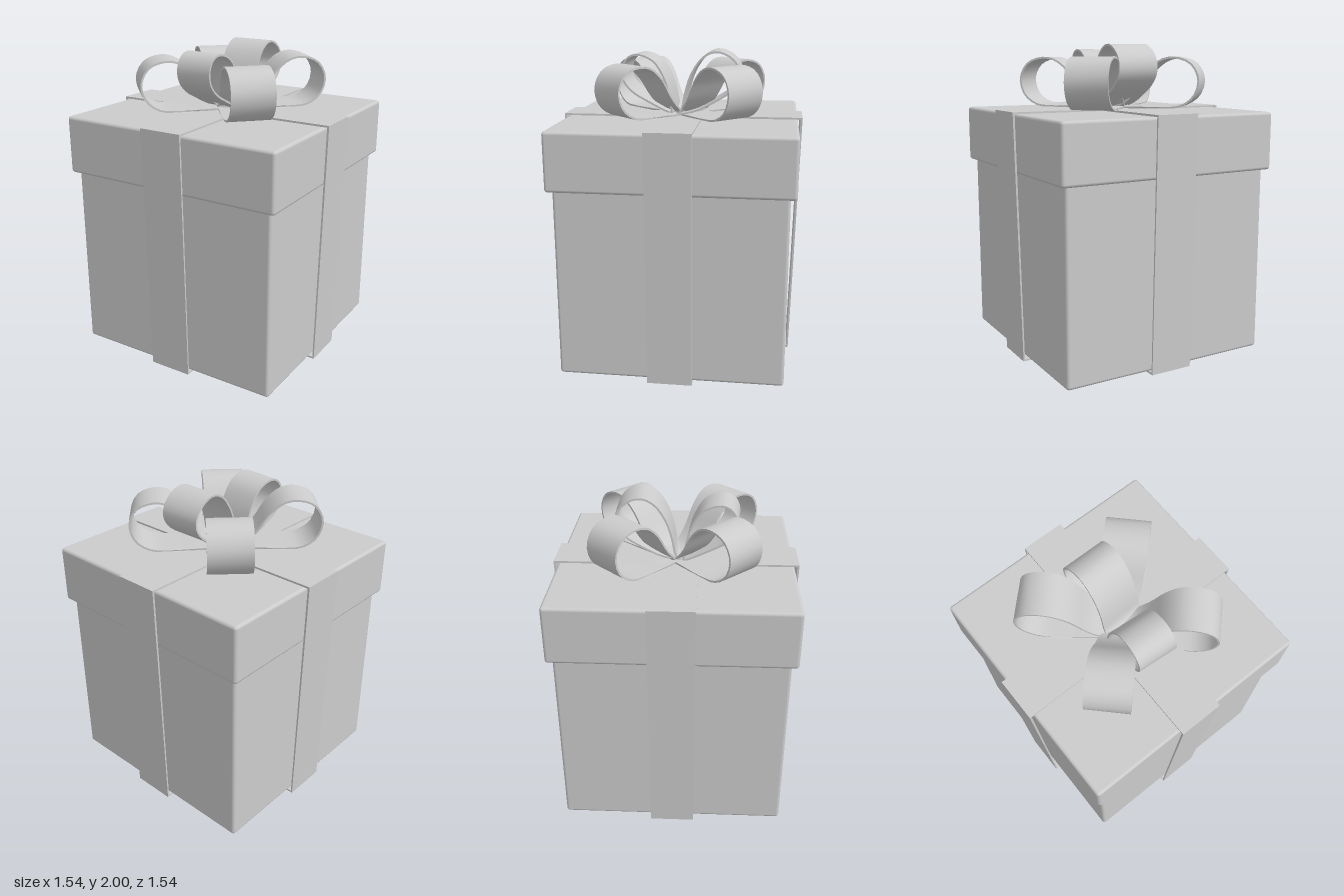
import * as THREE from 'three';
import { toCreasedNormals } from 'three/addons/utils/BufferGeometryUtils.js';
import { RoundedBoxGeometry } from 'three/addons/geometries/RoundedBoxGeometry.js';

const material = new THREE.MeshStandardMaterial({ color: 0xcccccc, side: THREE.DoubleSide });

function add(parent, name, geometry) {
  const mesh = new THREE.Mesh(geometry, material);
  mesh.name = name;
  parent.add(mesh);
  return mesh;
}

// Box with softened edges spanning y0 to y1
function softBox(parent, name, width, y0, y1) {
  const mesh = add(parent, name, new RoundedBoxGeometry(width, y1 - y0, width, 2, 0.02));
  mesh.position.y = (y0 + y1) / 2;
}

const toPoints = (list) => list.map(([x, y]) => new THREE.Vector2(x, y));

// Closed ribbon round the box, wider at the lid than at the base
function wrapRibbon(y) {
  const t = 0.006;
  const shape = new THREE.Shape(toPoints([[-0.735, y], [0.735, y], [0.77, 1.59], [-0.77, 1.59]]));
  shape.holes.push(new THREE.Path(toPoints([
    [-0.725, y + 2 * t], [-0.757, 1.59 - 2 * t], [0.757, 1.59 - 2 * t], [0.725, y + 2 * t],
  ])));
  const geometry = new THREE.ExtrudeGeometry(shape, { depth: 0.28, bevelEnabled: false });
  return geometry.translate(0, 0, -0.14);
}

// Thin bow loop: profile in (distance from centre, height), swept across its width
function bowLoop(profile, width, rootWidth) {
  const curve = new THREE.SplineCurve(toPoints(profile));
  const n = 32, t = 0.012, outer = [], inner = [];
  for (let i = 0; i <= n; i++) {
    const p = curve.getPoint(i / n), d = curve.getTangent(i / n);
    outer.push(p);
    inner.push(new THREE.Vector2(p.x + d.y * t, p.y - d.x * t));
  }
  const shape = new THREE.Shape([...outer, ...inner.reverse()]);
  const geometry = new THREE.ExtrudeGeometry(shape, { depth: 1, bevelEnabled: false });
  geometry.translate(0, 0, -0.5);
  // Narrow the loop towards the knot
  const pos = geometry.attributes.position;
  for (let i = 0; i < pos.count; i++) {
    const k = THREE.MathUtils.smoothstep(pos.getX(i), 0, 0.4);
    pos.setZ(i, pos.getZ(i) * THREE.MathUtils.lerp(rootWidth, width, k));
  }
  return toCreasedNormals(geometry, 0.7);
}

export function createModel() {
  const model = new THREE.Group();
  model.name = 'giftBox';

  softBox(model, 'boxBody', 1.41, 0.015, 1.25);
  softBox(model, 'lid', 1.485, 1.21, 1.577);

  add(model, 'ribbonAcross', wrapRibbon(0));
  add(model, 'ribbonFrontToBack', wrapRibbon(0.002)).rotation.y = Math.PI / 2;

  const bow = new THREE.Group();
  bow.name = 'bow';
  model.add(bow);

  // Four low loops pointing to the corners
  const low = bowLoop([
    [0.02, 1.605], [0.1, 1.63], [0.18, 1.71], [0.26, 1.83], [0.35, 1.905], [0.45, 1.92], [0.55, 1.88],
    [0.6, 1.78], [0.57, 1.67], [0.48, 1.605], [0.36, 1.593], [0.2, 1.592], [0.02, 1.592],
  ], 0.27, 0.2);
  for (let i = 0; i < 4; i++) {
    add(bow, 'cornerLoop' + (i + 1), low).rotation.y = Math.PI / 4 + i * Math.PI / 2;
  }

  // Raised loops at the back and front
  const back = add(bow, 'backLoop', bowLoop([
    [-0.03, 1.6], [0.0, 1.64], [0.02, 1.74], [0.06, 1.86], [0.13, 1.96], [0.22, 2.0], [0.31, 1.97],
    [0.37, 1.9], [0.375, 1.82], [0.32, 1.745], [0.22, 1.68], [0.1, 1.62], [-0.02, 1.592],
  ], 0.275, 0.265));
  back.position.x = 0.028;
  back.rotation.y = Math.PI / 2;

  const front = add(bow, 'frontLoop', bowLoop([
    [0.05, 1.605], [0.06, 1.68], [0.09, 1.8], [0.15, 1.91], [0.22, 1.96], [0.3, 1.973], [0.36, 1.94],
    [0.39, 1.87], [0.375, 1.79], [0.31, 1.72], [0.22, 1.67], [0.12, 1.62], [0.05, 1.592],
  ], 0.25, 0.25));
  front.position.x = 0.005;
  front.rotation.y = -Math.PI / 2 - 0.08;

  return model;
}
